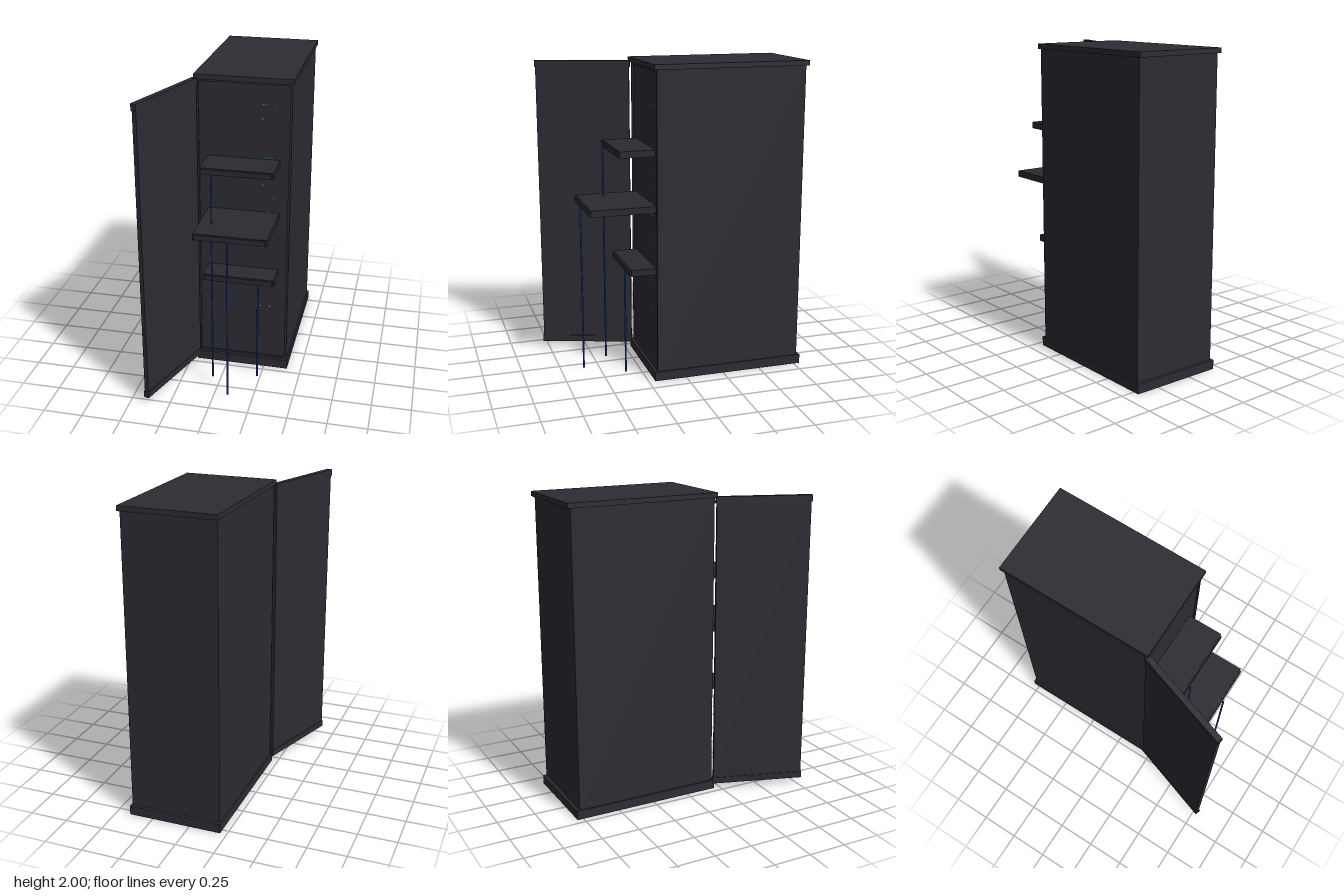
import * as THREE from 'three';

const mat = (name, color) => {
  const m = new THREE.MeshStandardMaterial({ color });
  m.name = name;
  return m;
};

export function createModel() {
  const model = new THREE.Group();
  model.name = 'serverCabinet';
  const steel = mat('dark steel', 0x2c2c34);
  const tray = mat('tray black', 0x2a2a2f);
  const blue = mat('cable blue', 0x1f3f8f);
  const green = mat('light green', 0x22c04a);
  const grey = mat('light grey', 0xb4b8b8);

  // Box given by its lower and upper limits on each axis
  const box = (parent, name, m, [x0, x1], [y0, y1], [z0, z1]) => {
    const mesh = new THREE.Mesh(new THREE.BoxGeometry(x1 - x0, y1 - y0, z1 - z0), m);
    mesh.position.set((x0 + x1) / 2, (y0 + y1) / 2, (z0 + z1) / 2);
    mesh.name = name;
    parent.add(mesh);
    return mesh;
  };

  // Cabinet body with overhanging base and roof
  box(model, 'cabinetBody', steel, [-0.197, 0.398], [0.06, 1.968], [-0.77, 0.18]);
  box(model, 'base', steel, [-0.207, 0.408], [0, 0.06], [-0.79, 0.208]);
  box(model, 'roof', steel, [-0.207, 0.408], [1.968, 2], [-0.79, 0.208]);

  // Shallow frame round the front
  const rect = (Type, x0, x1, y0, y1) => {
    const p = new Type();
    p.moveTo(x0, y0).lineTo(x1, y0).lineTo(x1, y1).lineTo(x0, y1).closePath();
    return p;
  };
  const outline = rect(THREE.Shape, -0.197, 0.398, 0.06, 1.968);
  outline.holes.push(rect(THREE.Path, -0.182, 0.383, 0.075, 1.953));
  const frame = new THREE.Mesh(
    new THREE.ExtrudeGeometry(outline, { depth: 0.01, bevelEnabled: false }), steel);
  frame.position.z = 0.18;
  frame.name = 'frontFrame';
  model.add(frame);

  // Open door, built along +x from its hinge and then swung out
  const door = new THREE.Group();
  door.name = 'door';
  box(door, 'doorPanel', steel, [0.006, 0.614], [0.08, 1.935], [-0.014, 0.014]);
  box(door, 'doorBottomRail', steel, [0, 0.62], [0.04, 0.083], [-0.018, 0.018]);
  box(door, 'doorTopRail', steel, [0, 0.62], [1.932, 1.975], [-0.018, 0.018]);
  door.position.set(-0.2, 0, 0.196);
  door.rotation.y = Math.atan2(-0.588, -0.196);
  model.add(door);

  // Pulled-out trays, each with a narrower front plate and a hanging cable
  const trays = [
    { y: 1.458, front: 0.415, cableX: -0.05 },
    { y: 1.104, front: 0.597, cableX: 0.09 },
    { y: 0.705, front: 0.35, cableX: 0.233 },
  ];
  for (const { y, front, cableX } of trays) {
    box(model, 'tray', tray, [-0.128, 0.329], [y - 0.021, y + 0.021], [0.17, front - 0.01]);
    box(model, 'trayFront', tray, [-0.118, 0.319], [y - 0.017, y + 0.017], [front - 0.01, front]);
    const top = y - 0.012;
    const cable = new THREE.Mesh(new THREE.CylinderGeometry(0.006, 0.006, top - 0.015, 8), blue);
    cable.position.set(cableX, (top + 0.015) / 2, front + 0.007);
    cable.name = 'cable';
    model.add(cable);
  }

  // Rows of tiny indicator lights: height, colour, x positions
  const rows = [
    [1.83, green, [0.22, 0.235, 0.3]], [1.74, grey, [0.22]],
    [1.49, green, [0.22, 0.235, 0.25, 0.265, 0.28]], [1.31, grey, [0.225]],
    [1.225, grey, [0.295]], [1.13, grey, [0.26]],
    [1.055, grey, [0.22, 0.24, 0.26, 0.28]], [0.96, green, [0.225]],
    [0.88, grey, [0.22]], [0.71, green, [0.26]],
    [0.62, grey, [0.22, 0.24, 0.28]], [0.45, grey, [0.22, 0.28]], [0.19, blue, [0.25]],
  ];
  for (const [y, m, xs] of rows) {
    for (const x of xs) {
      box(model, 'indicatorLight', m, [x - 0.003, x + 0.003], [y - 0.003, y + 0.003], [0.179, 0.185]);
    }
  }
  return model;
}
